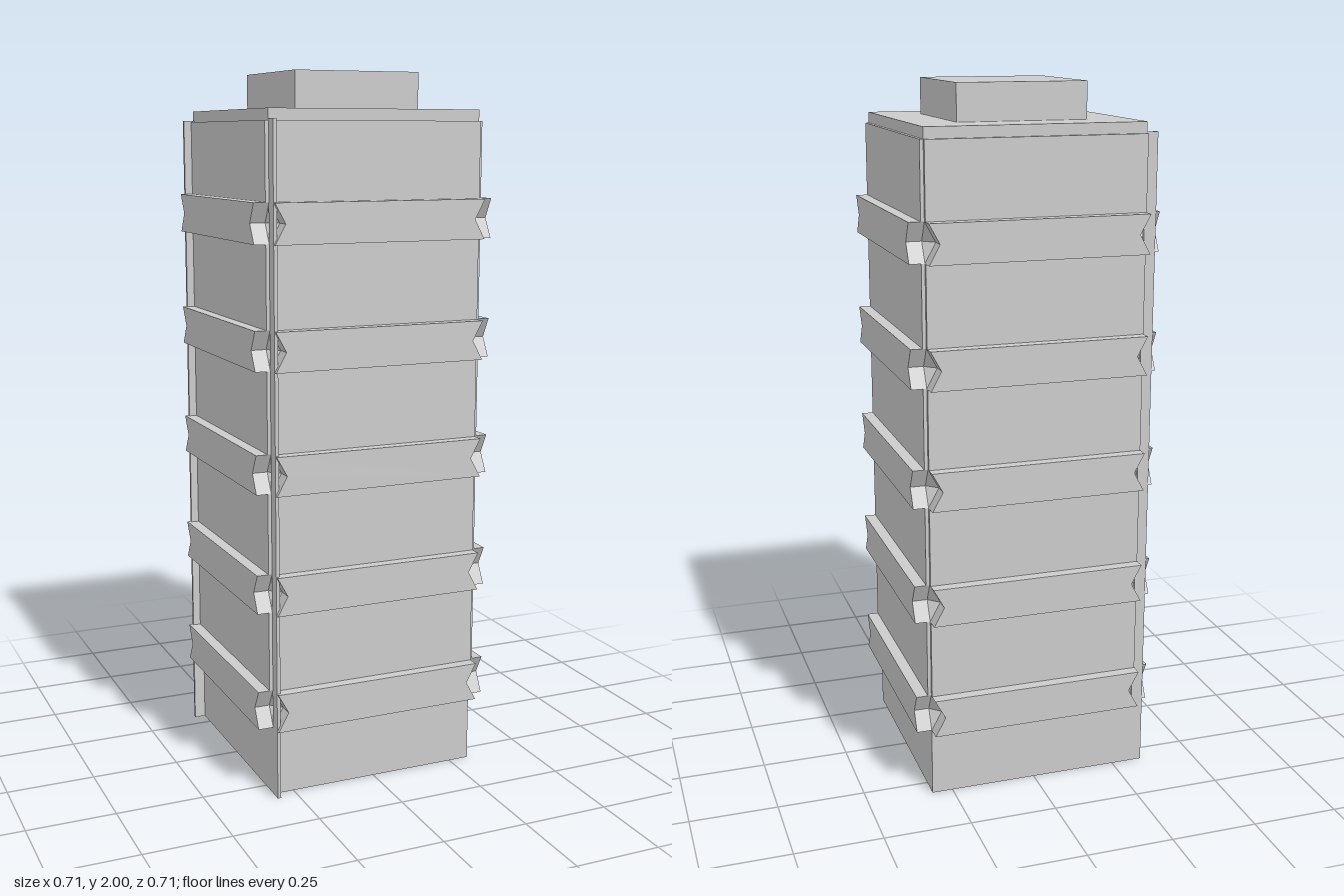
import * as THREE from 'three';

const W = 0.31;          // half width of the tower wall
const WALL_TOP = 1.866;
const BAND_H = 0.055;    // half height of a band
const NOTCH = 0.03;      // depth of the notches at the corners
const bandYs = [0, 1, 2, 3, 4].map(i => 0.255 + i * 0.3365);

const mat = new THREE.MeshStandardMaterial({ color: 0xcccccc, flatShading: true });
const openMat = new THREE.MeshStandardMaterial({ color: 0xcccccc, flatShading: true, side: THREE.DoubleSide });

function box(name, [x0, x1], [y0, y1], [z0, z1]) {
  const mesh = new THREE.Mesh(new THREE.BoxGeometry(x1 - x0, y1 - y0, z1 - z0), mat);
  mesh.position.set((x0 + x1) / 2, (y0 + y1) / 2, (z0 + z1) / 2);
  mesh.name = name;
  return mesh;
}

// Hollow square wall, open below, its corners cut in at the middle of each band
function wallGeometry() {
  const levels = [[0, 0]];
  for (const y of bandYs) levels.push([y - BAND_H, 0], [y, NOTCH], [y + BAND_H, 0]);
  levels.push([WALL_TOP, 0]);
  const pos = [], index = [];
  for (const [y, c] of levels) {
    const a = W - c;
    for (const [x, z] of [[a, W], [W, a], [W, -a], [a, -W], [-a, -W], [-W, -a], [-W, a], [-a, W]])
      pos.push(x, y, z);
  }
  for (let r = 0; r < levels.length - 1; r++) {
    for (let i = 0; i < 8; i++) {
      const a = r * 8 + i, b = r * 8 + (i + 1) % 8;
      // corner strips (even i) collapse to triangles where the corner is sharp
      const corner = i % 2 === 0, sharpLow = levels[r][1] === 0, sharpHigh = levels[r + 1][1] === 0;
      if (!(corner && sharpLow)) index.push(a, b, b + 8);
      if (!(corner && sharpHigh)) index.push(a, b + 8, a + 8);
    }
  }
  const g = new THREE.BufferGeometry();
  g.setAttribute('position', new THREE.Float32BufferAttribute(pos, 3));
  g.setIndex(index);
  g.computeVertexNormals();
  return g;
}

// Band with a V notch in both ends
function bandGeometry() {
  const i = W - NOTCH;
  const shape = new THREE.Shape([
    [-W, -BAND_H], [W, -BAND_H], [i, 0], [W, BAND_H], [-W, BAND_H], [-i, 0],
  ].map(([x, y]) => new THREE.Vector2(x, y)));
  return new THREE.ExtrudeGeometry(shape, { depth: 0.043, bevelEnabled: false });
}

export function createModel() {
  const tower = new THREE.Group();
  tower.name = 'tower';

  const walls = new THREE.Mesh(wallGeometry(), openMat);
  walls.name = 'walls';
  tower.add(walls);

  // Core runs the full height and shows above the roof and inside the open base
  tower.add(box('core', [-0.185, 0.185], [0, 2], [-0.185, 0.185]));
  tower.add(box('roof', [-W, W], [WALL_TOP, 1.897], [-W, W]));

  // The same bands and raised panels on all four sides
  const band = bandGeometry();
  for (let s = 0; s < 4; s++) {
    const side = new THREE.Group();
    side.name = 'side' + (s + 1);
    side.rotation.y = s * Math.PI / 2;
    bandYs.forEach((y, i) => {
      const mesh = new THREE.Mesh(band, mat);
      mesh.name = 'band';
      mesh.position.set(0, y, W);
      const next = i < 4 ? bandYs[i + 1] - BAND_H : WALL_TOP;
      side.add(mesh, box('panel', [-W, W], [y + BAND_H, next], [W - 0.002, W + 0.01]));
    });
    tower.add(side);
  }

  // Thin upright fins on two corners
  tower.add(box('frontFin', [-W, -W + 0.01], [0, WALL_TOP + 0.004], [W - 0.002, 0.342]));
  tower.add(box('sideFin', [-0.342, -W + 0.002], [0, WALL_TOP + 0.004], [-W, -W + 0.01]));

  return tower;
}
